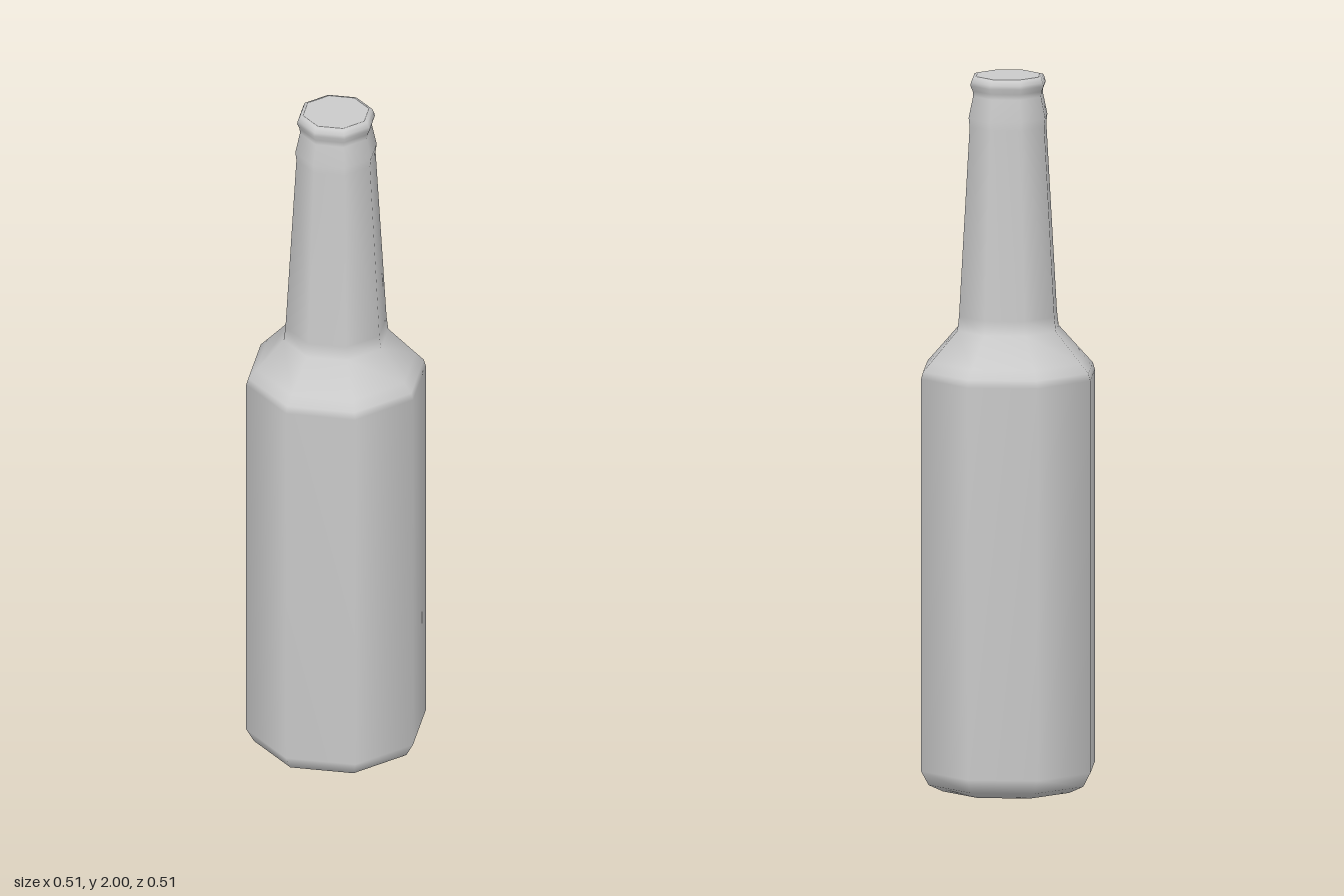
import * as THREE from 'three';

const SIDES = 8;

export function createModel() {
  const bottle = new THREE.Group();
  bottle.name = 'bottle';
  const material = new THREE.MeshStandardMaterial({ color: 0xcccccc });

  const add = (name, geometry) => {
    const mesh = new THREE.Mesh(geometry, material);
    mesh.name = name;
    bottle.add(mesh);
    return mesh;
  };

  // Eight-sided smooth glass: base, body, shoulder, tapered neck and lip (radius, height)
  const profile = [
    [0, 0], [0.19, 0], [0.232, 0.02], [0.254, 0.06],
    [0.254, 1.16], [0.248, 1.18], [0.225, 1.205],
    [0.148, 1.29], [0.143, 1.33],
    [0.112, 1.86], [0.115, 1.885],
    [0.102, 1.945], [0.103, 1.96], [0.11, 1.975], [0.108, 1.985],
    [0.103, 1.997], [0.093, 2],
  ].map(([r, y]) => new THREE.Vector2(r, y));
  add('glass', new THREE.LatheGeometry(profile, SIDES));

  // Flat closed top
  const top = add('mouth', new THREE.CircleGeometry(0.093, SIDES));
  top.rotation.x = -Math.PI / 2;
  top.position.y = 2;

  return bottle;
}
